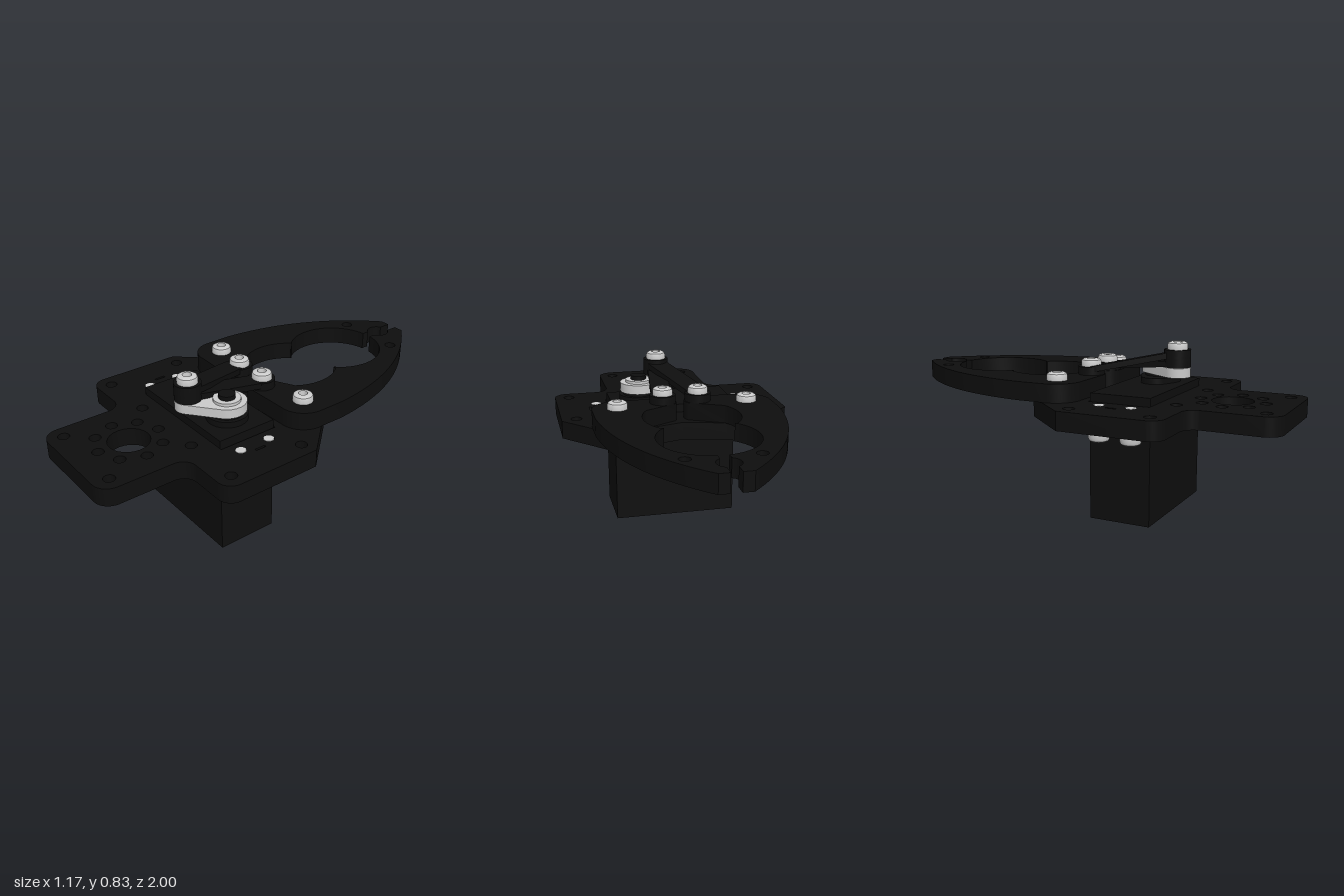
import * as THREE from 'three';
import { toCreasedNormals } from 'three/addons/utils/BufferGeometryUtils.js';

const black = new THREE.MeshStandardMaterial({ color: 0x0e0e0e });
const grey = new THREE.MeshStandardMaterial({ color: 0xcccccc });

// Plan-view points are [x, z]; angles are in degrees
function arc(cx, cz, r, from, to, n = 14) {
  return Array.from({ length: n + 1 }, (_, i) => {
    const a = THREE.MathUtils.degToRad(from + ((to - from) * i) / n);
    return [cx + r * Math.cos(a), cz + r * Math.sin(a)];
  });
}
const circle = (x, z, r) => arc(x, z, r, 0, 345, 23);
const toVectors = (pts) => pts.map(([x, z]) => new THREE.Vector2(x, z));

// Outline wrapped round two circles [x, z, r]
function capsule([ax, az, ar], [bx, bz, br]) {
  const dx = bx - ax, dz = bz - az;
  const phi = THREE.MathUtils.radToDeg(Math.atan2(dz, dx));
  const beta = THREE.MathUtils.radToDeg(Math.acos((ar - br) / Math.hypot(dx, dz)));
  return [...arc(bx, bz, br, phi - beta, phi + beta), ...arc(ax, az, ar, phi + beta, phi + 360 - beta)];
}

// Flat part cut from a plan outline, between two heights
function slab(outline, bottom, top, holes = []) {
  const shape = new THREE.Shape(toVectors(outline));
  for (const h of holes) shape.holes.push(new THREE.Path(toVectors(h)));
  const geo = new THREE.ExtrudeGeometry(shape, { depth: top - bottom, bevelEnabled: false });
  return geo.rotateX(Math.PI / 2).translate(0, top, 0);
}

export function createModel() {
  const model = new THREE.Group();

  function add(name, geo, material = black, parent = model) {
    const mesh = new THREE.Mesh(toCreasedNormals(geo, 0.6), material);
    mesh.name = name;
    parent.add(mesh);
    return mesh;
  }
  const box = (name, w, d, bottom, top, z) =>
    add(name, new THREE.BoxGeometry(w, top - bottom, d).translate(0, (top + bottom) / 2, z));
  const disc = (name, x, z, r, bottom, top, material) =>
    add(name, new THREE.CylinderGeometry(r, r, top - bottom, 32).translate(x, (top + bottom) / 2, z), material);

  // Rounded screw head with a socket, plus its shaft
  function screw(name, x, y, z, shaft, flip = false) {
    const g = new THREE.Group();
    g.name = name;
    const profile = [[0, 0], [0.05, 0], [0.05, 0.02], [0.046, 0.031], [0.036, 0.037], [0.022, 0.038], [0.02, 0.016], [0, 0.016]];
    add('screwHead', new THREE.LatheGeometry(toVectors(profile), 28), grey, g);
    add('screwShaft', new THREE.CylinderGeometry(0.025, 0.025, shaft, 20).translate(0, -shaft / 2, 0), grey, g);
    g.position.set(x, y, z);
    if (flip) g.rotation.x = Math.PI;
    model.add(g);
  }

  // Base plate with servo opening, slots and mounting holes
  const half = [
    [0.36, -0.17], [0.585, 0.08],
    ...arc(0.515, 0.505, 0.07, 0, 90),
    ...arc(0.355, 0.645, 0.07, -90, -180),
    ...arc(0.205, 0.92, 0.08, 0, 90),
  ];
  const mirrored = half.map(([x, z]) => [-x, z]).reverse();
  const rect = (x0, x1, z0, z1) => [[x0, z0], [x1, z0], [x1, z1], [x0, z1]];
  const holes = [rect(-0.322, 0.322, 0.104, 0.416), circle(0, 0.7, 0.1)];
  for (let i = 0; i < 8; i++) {
    const a = (i * Math.PI) / 4;
    holes.push(circle(0.158 * Math.cos(a), 0.7 + 0.158 * Math.sin(a), 0.028));
  }
  for (const s of [-1, 1]) {
    for (const [x, z] of [[0.51, 0.105], [0.51, 0.5], [0.21, 0.5], [0.21, 0.92]]) holes.push(circle(s * x, z, 0.028));
    for (const z of [0.19, 0.35]) holes.push(circle(s * 0.38, z, 0.026));
    holes.push(rect(s * 0.418 - 0.006, s * 0.418 + 0.006, 0.24, 0.295));
  }
  add('basePlate', slab([[0, -0.07], ...half, ...mirrored], 0.48, 0.57, holes));

  // Servo body, mounting ears and output hub
  box('servoBody', 0.63, 0.306, 0, 0.61, 0.263);
  box('servoEars', 0.828, 0.306, 0.44, 0.479, 0.263);
  add('servoGearCover', slab(capsule([0.165, 0.265, 0.1], [0.09, 0.265, 0.07]), 0.61, 0.64));
  disc('servoOutput', 0.165, 0.265, 0.08, 0.64, 0.656);

  // Servo horn
  add('servoHorn', slab(capsule([0.165, 0.265, 0.095], [0.045, 0.4, 0.065]), 0.656, 0.703), grey);
  disc('hornCollar', 0.165, 0.265, 0.066, 0.703, 0.717, grey);
  disc('hornScrew', 0.165, 0.265, 0.04, 0.717, 0.738);

  for (const s of [1, -1]) {
    const side = s > 0 ? 'left' : 'right';

    // Gripper jaw: curved outer edge, two scalloped grips and a notched tip
    const outer = new THREE.QuadraticBezierCurve(
      new THREE.Vector2(0.075, -1), new THREE.Vector2(0.41, -0.68), new THREE.Vector2(0.45, -0.2),
    ).getPoints(24).map((p) => [p.x, p.y]);
    const jaw = [
      [0.025, -1], ...outer,
      ...arc(0.325, -0.06, 0.125, 0, 95),
      ...arc(0.09, 0, 0.07, 90, 215),
      ...arc(0, -0.255, 0.235, 34, -43, 18),
      ...arc(0, -0.57, 0.235, 45, -84, 26),
      ...arc(0, -0.89, 0.055, 63, -63),
    ].map(([x, z]) => [s * x, z]);
    add(side + 'Jaw', slab(jaw, 0.571, 0.66, [circle(s * 0.165, -0.815, 0.027)]));

    // Link from the jaw tail up to the horn, sloping between two end bosses
    const end = s > 0 ? 0.704 : 0.747;
    disc(side + 'LinkJawEnd', s * 0.09, 0, 0.065, 0.66, 0.7);
    disc(side + 'LinkHornEnd', 0.045, 0.4, 0.065, end, end + 0.043);
    const bar = slab(capsule([s * 0.09, 0.035, 0.05], [0.045, 0.365, 0.05]), 0, 0.03);
    const p = bar.attributes.position;
    for (let i = 0; i < p.count; i++) {
      const t = (p.getZ(i) + 0.015) / 0.43;
      p.setY(i, p.getY(i) + THREE.MathUtils.lerp(0.666, end + 0.008, t));
    }
    add(side + 'LinkBar', bar);

    // Jaw pivot, link and servo mounting screws
    screw(side + 'PivotScrew', s * 0.325, 0.66, -0.06, 0.15);
    screw(side + 'LinkScrew', s * 0.09, 0.7, 0, 0.1);
    for (const z of [0.19, 0.35]) screw(side + 'ServoScrew', s * 0.38, 0.44, z, 0.131, true);
  }
  screw('hornLinkScrew', 0.045, 0.79, 0.4, 0.1);

  return model;
}
